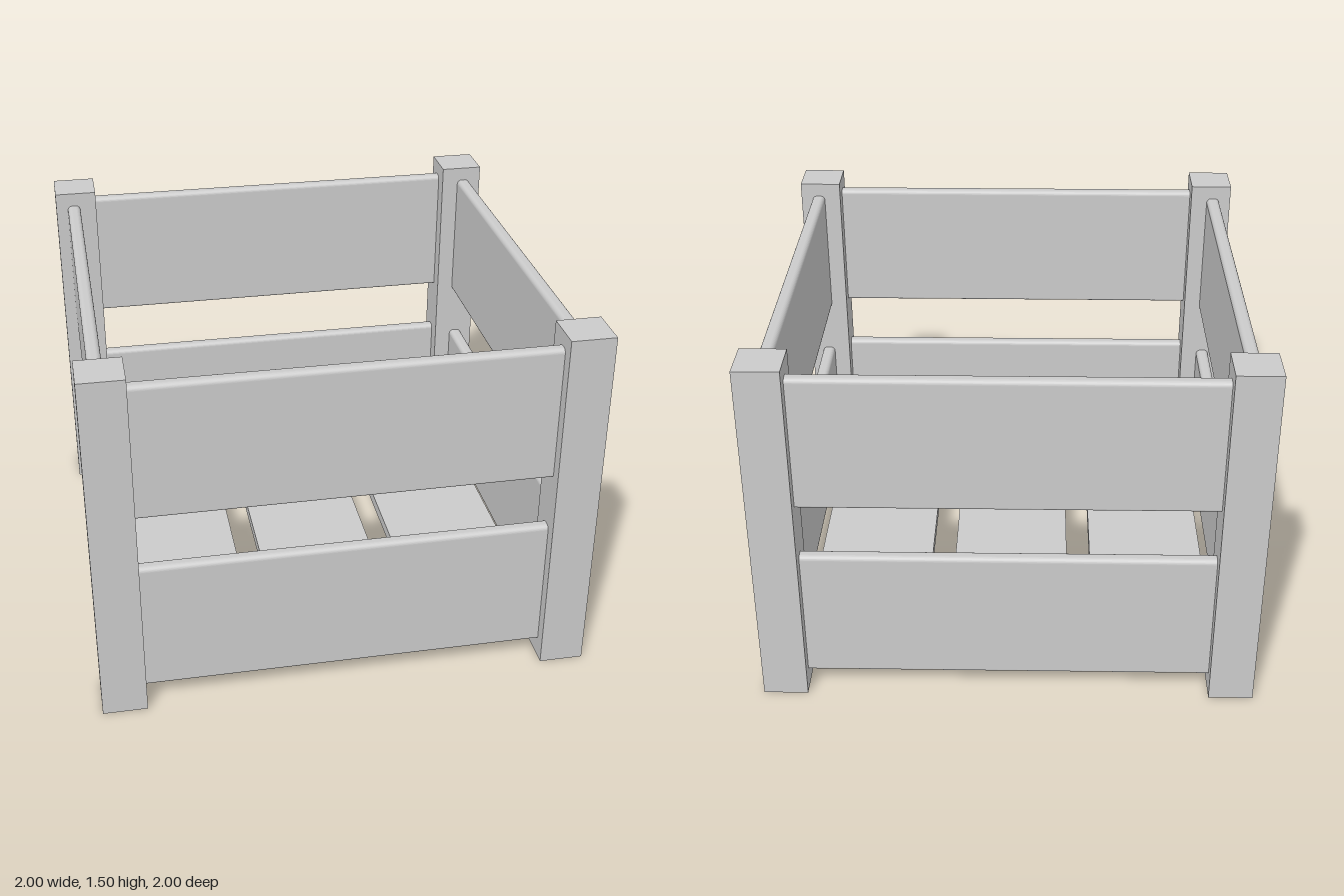
import * as THREE from 'three';

const material = new THREE.MeshStandardMaterial({ color: 0xcccccc, side: THREE.DoubleSide });

const POST = 0.18, HEIGHT = 1.5, POST_AT = 0.91;
const BOARD_LENGTH = 1.64, BOARD_HEIGHT = 0.565, BOARD_THICK = 0.056, BOARD_AT = 0.92;

function addMesh(parent, name, geometry, x, y, z) {
  const mesh = new THREE.Mesh(geometry, material);
  mesh.name = name;
  mesh.position.set(x, y, z);
  parent.add(mesh);
  return mesh;
}

// Square post with an open underside
function postGeometry() {
  const geo = new THREE.BoxGeometry(POST, HEIGHT, POST);
  const index = Array.from(geo.index.array);
  index.splice(18, 6); // drop the bottom face
  geo.setIndex(index);
  geo.clearGroups();
  return geo;
}

// Plank along x with rounded top edges and slightly eased bottom edges
function boardGeometry() {
  const w = BOARD_THICK / 2, h = BOARD_HEIGHT, r = 0.02, b = 0.01;
  const s = new THREE.Shape();
  s.moveTo(-w + b, 0);
  s.lineTo(w - b, 0);
  s.absarc(w - b, b, b, -Math.PI / 2, 0);
  s.lineTo(w, h - r);
  s.absarc(w - r, h - r, r, 0, Math.PI / 2);
  s.lineTo(-w + r, h);
  s.absarc(-w + r, h - r, r, Math.PI / 2, Math.PI);
  s.lineTo(-w, b);
  s.absarc(-w + b, b, b, Math.PI, Math.PI * 1.5);
  const geo = new THREE.ExtrudeGeometry(s, { depth: BOARD_LENGTH, bevelEnabled: false, curveSegments: 6 });
  geo.translate(0, 0, -BOARD_LENGTH / 2);
  geo.rotateY(Math.PI / 2);
  return geo;
}

export function createModel() {
  const crate = new THREE.Group();
  crate.name = 'crate';

  // Corner posts
  const post = postGeometry();
  for (const x of [-1, 1])
    for (const z of [-1, 1])
      addMesh(crate, 'cornerPost', post, x * POST_AT, HEIGHT / 2, z * POST_AT);

  // Two boards on each of the four sides
  const board = boardGeometry();
  ['front', 'left', 'back', 'right'].forEach((sideName, i) => {
    const side = new THREE.Group();
    side.name = sideName + 'Side';
    side.rotation.y = i * Math.PI / 2;
    addMesh(side, 'lowerBoard', board, 0, 0.08, BOARD_AT);
    addMesh(side, 'upperBoard', board, 0, 0.876, BOARD_AT);
    crate.add(side);
  });

  // Floor slats running front to back
  const slat = new THREE.BoxGeometry(0.495, 0.05, 1.8);
  for (const x of [-0.597, 0, 0.597]) addMesh(crate, 'floorSlat', slat, x, 0.152, 0);

  return crate;
}
